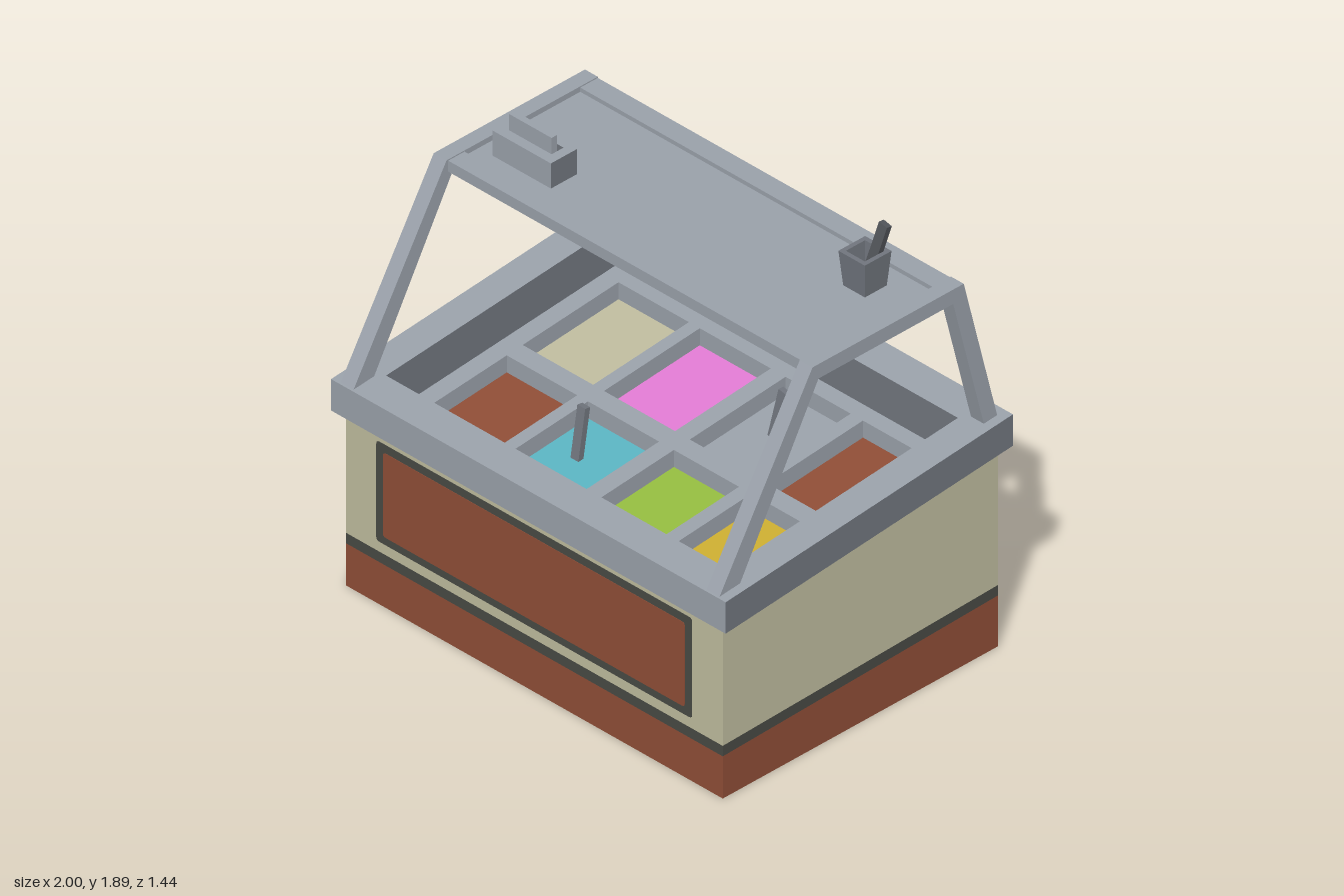
import * as THREE from 'three';

const mat = (name, color) => Object.assign(new THREE.MeshStandardMaterial({ color }), { name });

export function createModel() {
  const M = {
    steel: mat('steel', 0x9aa1aa),
    darkSteel: mat('dark steel', 0x71767e),
    utensil: mat('utensil grey', 0x53565b),
    rust: mat('rust', 0x8f4e37),
    cream: mat('cream', 0xbfbc9e),
    trim: mat('charcoal trim', 0x484a44),
    teal: mat('teal', 0x5bb4c2),
    lime: mat('lime', 0x95bd40),
    yellow: mat('mustard', 0xcdae31),
    pink: mat('pink', 0xe27bd4),
  };
  const model = new THREE.Group();
  model.name = 'saladBar';

  const add = (name, geometry, material, x = 0, y = 0, z = 0) => {
    const mesh = new THREE.Mesh(geometry, material);
    mesh.name = name;
    mesh.position.set(x, y, z);
    model.add(mesh);
    return mesh;
  };
  const box = (name, material, x0, x1, y0, y1, z0, z1) =>
    add(name, new THREE.BoxGeometry(x1 - x0, y1 - y0, z1 - z0), material, (x0 + x1) / 2, (y0 + y1) / 2, (z0 + z1) / 2);

  // Footprint rectangle [x0, x1, z0, z1] as counter-clockwise points of a flat shape
  const corners = ([x0, x1, z0, z1]) =>
    [[x0, z1], [x1, z1], [x1, z0], [x0, z0]].map(([x, z]) => new THREE.Vector2(x, -z));

  // Slab with rectangular holes; its bottom and top heights depend on z
  const slab = (name, material, rect, holes, bottom, top) => {
    const shape = new THREE.Shape(corners(rect));
    holes.forEach((h) => shape.holes.push(new THREE.Path(corners(h))));
    const geo = new THREE.ExtrudeGeometry(shape, { depth: 1, bevelEnabled: false });
    geo.rotateX(-Math.PI / 2);
    const p = geo.attributes.position;
    for (let i = 0; i < p.count; i++) {
      const z = p.getZ(i);
      p.setY(i, p.getY(i) > 0.5 ? top(z) : bottom(z));
    }
    geo.computeVertexNormals();
    return add(name, geo, material);
  };

  // Dark steel on ends, underside and inner walls; steel on top, front and back
  const darkenEnds = (mesh, [, , zBack, zFront]) => {
    const { position: p, normal: n } = mesh.geometry.attributes;
    mesh.geometry.clearGroups();
    for (let i = 0; i < p.count; i += 3) {
      const z = p.getZ(i);
      const inner = Math.abs(n.getZ(i)) > 0.5 && z > zBack + 0.01 && z < zFront - 0.01;
      const dark = inner || Math.abs(n.getX(i)) > 0.5 || n.getY(i) < -0.5;
      mesh.geometry.addGroup(i, 3, dark ? 1 : 0);
    }
    mesh.material = [M.steel, M.darkSteel];
  };
  const centred = (w, d) => [-w / 2, w / 2, -d / 2, d / 2];
  // Height at a given depth under the sloping counter top
  const under = (depth) => (z) => 0.942 - 0.0868 * z - depth;
  const band = (y) => (z) => y - 0.027 * z;

  // Cabinet bands
  const foot = centred(1.91, 1.38);
  const opening = centred(1.73, 1.155);
  const liner = centred(1.8, 1.2);
  slab('plinth', M.rust, foot, [], () => 0, band(0.2));
  slab('trimBand', M.trim, foot, [], band(0.2), band(0.245));
  slab('cabinetWalls', M.cream, foot, [liner], band(0.245), under(0.13));

  // Sloping rim and sunken tray
  const rim = centred(2, 1.44);
  darkenEnds(slab('counterRim', M.steel, rim, [opening], under(0.135), under(0)), rim);
  slab('trayWalls', M.darkSteel, liner, [opening], under(0.172), under(0.135));
  const columns = [[-0.787, -0.43], [-0.375, -0.015], [0.06, 0.39], [0.452, 0.787]];
  const rows = [[-0.51, -0.03], [0.05, 0.47]];
  const bins = rows.flatMap((r) => columns.map((c) => [...c, ...r]));
  slab('trayLedge', M.steel, liner, bins, under(0.25), under(0.172));

  // Food in the bins, back row then front row
  const fillings = [M.cream, M.pink, M.steel, M.rust, M.rust, M.teal, M.lime, M.yellow];
  bins.forEach((b, i) => slab('binFilling' + (i + 1), fillings[i], b, [], under(0.26), under(0.245)));

  // Thin panels with softened corners
  const panel = (name, material, w, y0, y1, z, thick, r) => {
    const a = w / 2;
    const s = new THREE.Shape();
    s.moveTo(-a + r, y0).lineTo(a - r, y0).quadraticCurveTo(a, y0, a, y0 + r);
    s.lineTo(a, y1 - r).quadraticCurveTo(a, y1, a - r, y1);
    s.lineTo(-a + r, y1).quadraticCurveTo(-a, y1, -a, y1 - r);
    s.lineTo(-a, y0 + r).quadraticCurveTo(-a, y0, -a + r, y0);
    add(name, new THREE.ExtrudeGeometry(s, { depth: thick, bevelEnabled: false, curveSegments: 3 }), material, 0, 0, z);
  };
  panel('frontPanelFrame', M.trim, 1.6, 0.27, 0.7, 0.689, 0.0025, 0.015);
  panel('frontPanel', M.rust, 1.53, 0.303, 0.665, 0.689, 0.004, 0.015);
  panel('backPanel', M.darkSteel, 1.56, 0.08, 0.745, -0.692, 0.004, 0.02);

  // Bent side frames, drawn as [z, y] outlines
  const outline = [[0.716, 0.872], [0.245, 1.645], [-0.513, 1.645], [-0.682, 0.995],
    [-0.615, 0.99], [-0.46, 1.583], [0.215, 1.583], [0.61, 0.885]];
  for (const side of [-1, 1]) {
    const shape = new THREE.Shape(outline.map(([z, y]) => new THREE.Vector2(-z, y)));
    const geo = new THREE.ExtrudeGeometry(shape, { depth: 0.065, bevelEnabled: false });
    geo.rotateY(Math.PI / 2);
    add(side > 0 ? 'leftFrame' : 'rightFrame', geo, M.steel, side * 0.9275 - 0.0325);
  }

  // Top shelf with raised edge rails and a dark underside
  const shelfFaces = [M.steel, M.steel, M.steel, M.darkSteel, M.steel, M.steel];
  box('shelf', shelfFaces, -0.897, 0.897, 1.593, 1.622, -0.425, 0.155);
  box('frontRail', shelfFaces, -0.897, 0.897, 1.593, 1.64, 0.155, 0.237);
  box('backRail', shelfFaces, -0.897, 0.897, 1.593, 1.64, -0.513, -0.425);

  // Card holder with a dark slot and an upright card
  const holder = [-0.825, -0.53, -0.048, 0.083];
  darkenEnds(slab('cardHolder', M.steel, holder, [[-0.785, -0.57, -0.02, 0.04]], () => 1.615, () => 1.73), holder);
  box('slotFloor', M.darkSteel, -0.785, -0.57, 1.615, 1.66, -0.02, 0.012);
  box('card', M.steel, -0.785, -0.57, 1.62, 1.8, 0.012, 0.04);

  // Square tapered pot, open at the top
  const profile = [[0, 0], [0.055, 0], [0.067, 0.148], [0.048, 0.148], [0.04, 0.02], [0, 0.02]]
    .map(([r, y]) => new THREE.Vector2(r * Math.SQRT2, y));
  const potGeo = new THREE.LatheGeometry(profile, 4, Math.PI / 4).toNonIndexed();
  potGeo.computeVertexNormals();
  add('utensilPot', potGeo, M.darkSteel, 0.695, 1.622, -0.28);

  // Utensil handles, each running between two points
  const handle = (name, material, from, to, w, d) => {
    const a = new THREE.Vector3(...from);
    const b = new THREE.Vector3(...to);
    const dir = b.clone().sub(a);
    const mesh = add(name, new THREE.BoxGeometry(w, dir.length(), d), material);
    mesh.position.copy(a).lerp(b, 0.5);
    mesh.quaternion.setFromUnitVectors(new THREE.Vector3(0, 1, 0), dir.normalize());
  };
  handle('potUtensil', M.utensil, [0.698, 1.65, -0.288], [0.746, 1.886, -0.332], 0.042, 0.026);
  handle('frontServingHandle', M.darkSteel, [-0.24, 0.67, 0.24], [-0.24, 0.885, 0.205], 0.04, 0.025);
  handle('backServingHandle', M.darkSteel, [0.2, 0.71, -0.31], [0.238, 0.925, -0.33], 0.04, 0.025);

  return model;
}
